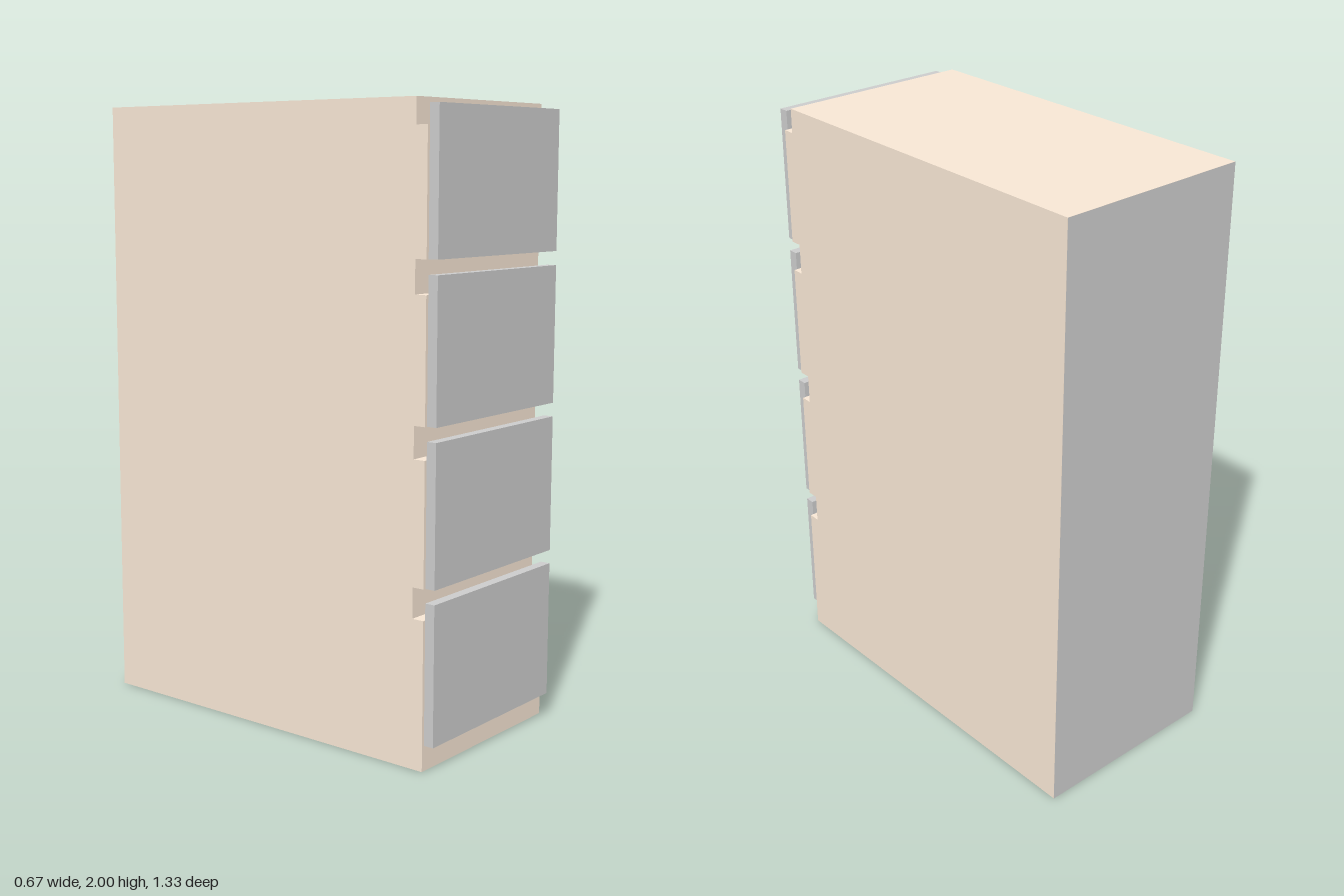
import * as THREE from 'three';

const WIDTH = 0.666, BACK = -0.666, FACE = 0.633, RECESS = 0.593;
const PITCH = 0.4865, FIRST = 0.08, FRONT_HEIGHT = 0.442, GRIP = 0.47;

export function createModel() {
  const group = new THREE.Group();
  const wood = new THREE.MeshStandardMaterial({ color: 0xf7e6d4 });
  const grey = new THREE.MeshStandardMaterial({ color: 0xcccccc });
  const add = (name, geometry, material, x, y, z) => {
    const mesh = new THREE.Mesh(geometry, material);
    mesh.name = name;
    mesh.position.set(x, y, z);
    group.add(mesh);
    return mesh;
  };

  // Cabinet side profile (z, y) with a finger recess behind the top of each drawer front
  const profile = new THREE.Shape();
  profile.moveTo(BACK + 0.001, 0);
  profile.lineTo(FACE, 0);
  for (let i = 0; i < 4; i++) {
    const low = GRIP + i * 0.4835;
    const high = i < 3 ? FIRST + (i + 1) * PITCH : 2;
    profile.lineTo(FACE, low);
    profile.lineTo(RECESS, low);
    profile.lineTo(RECESS, high);
    if (i < 3) profile.lineTo(FACE, high);
  }
  profile.lineTo(BACK + 0.001, 2);
  const body = new THREE.ExtrudeGeometry(profile, { depth: WIDTH, bevelEnabled: false });
  body.translate(0, 0, -WIDTH / 2).rotateY(-Math.PI / 2);
  add('cabinetBody', body, wood, 0, 0, 0);

  // Grey skin covering the back
  add('backPanel', new THREE.PlaneGeometry(WIDTH, 2), grey, 0, 1, BACK).rotation.y = Math.PI;

  // Four drawer fronts
  const front = new THREE.BoxGeometry(0.646, FRONT_HEIGHT, 0.033);
  for (let i = 0; i < 4; i++) {
    add('drawerFront' + (i + 1), front, grey, 0, FIRST + i * PITCH + FRONT_HEIGHT / 2, FACE + 0.0165);
  }
  return group;
}
